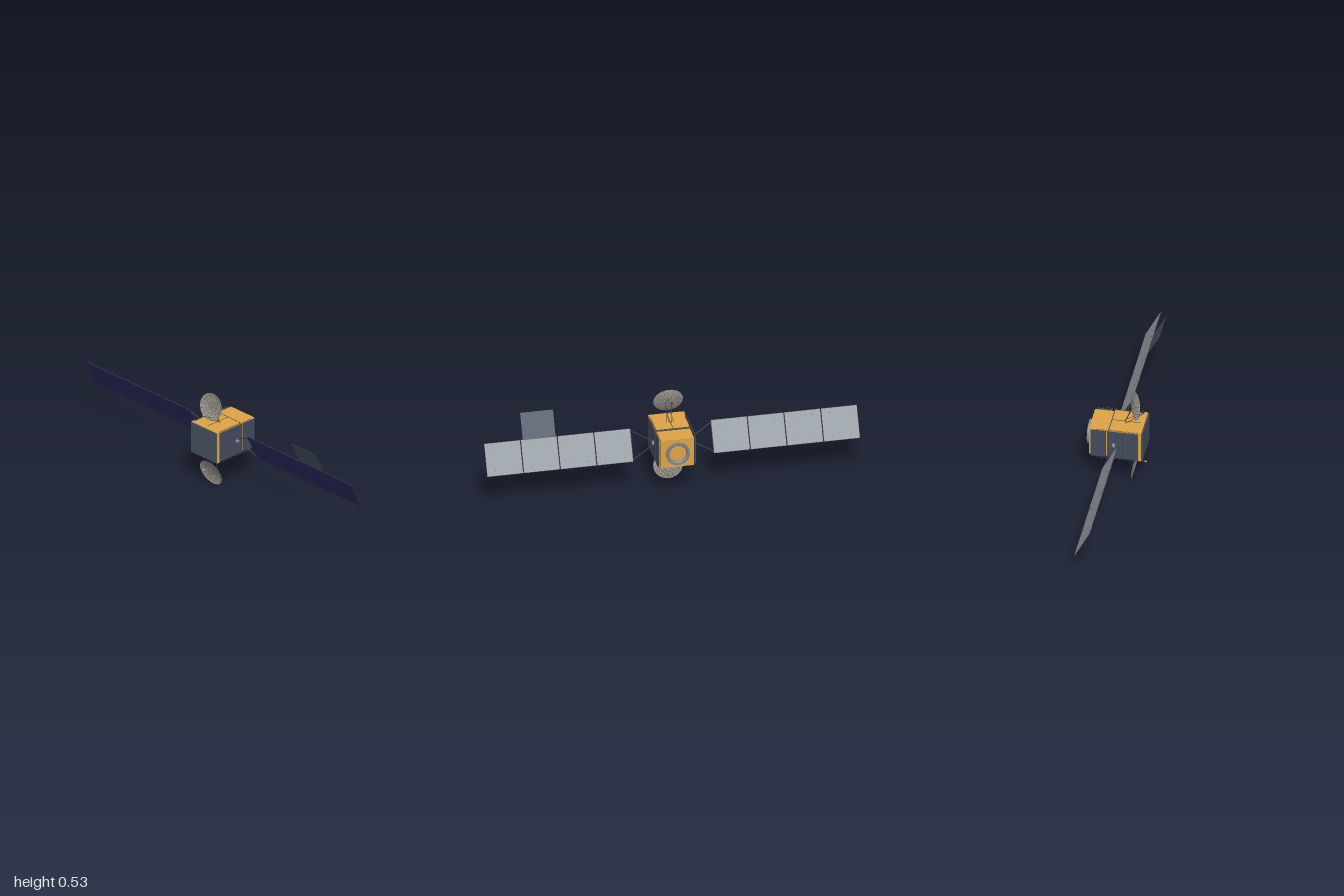
import * as THREE from 'three';

const mat = (name, color, side = THREE.FrontSide) => {
  const m = new THREE.MeshStandardMaterial({ color, side });
  m.name = name;
  return m;
};

export function createModel() {
  const gold = mat('gold foil', 0xdea445);
  const navy = mat('navy solar cells', 0x2c2a60);
  const slate = mat('slate radiator', 0x465260);
  const blueSlate = mat('blue slate side radiator', 0x434b5d);
  const grey = mat('light grey', 0x929aa1);
  const ringGrey = mat('ring grey', 0x7f868d, THREE.DoubleSide);
  const dark = mat('dark struts', 0x38393b);
  const meshGrey = mat('dish mesh grey', 0x96928a, THREE.DoubleSide);
  const meshDark = mat('dish rib grey', 0x56544f);

  const model = new THREE.Group();
  model.name = 'satellite';
  const CY = 0.2645; // height of the body axis

  const add = (parent, name, geo, material, x = 0, y = 0, z = 0) => {
    const m = new THREE.Mesh(geo, material);
    m.name = name;
    m.position.set(x, y, z);
    parent.add(m);
    return m;
  };
  // box given by its min and max on each axis
  const box = (parent, name, material, [x0, x1], [y0, y1], [z0, z1]) =>
    add(parent, name, new THREE.BoxGeometry(x1 - x0, y1 - y0, z1 - z0), material,
      (x0 + x1) / 2, (y0 + y1) / 2, (z0 + z1) / 2);
  // thin round bar between two points
  const rod = (parent, name, a, b, r = 0.0015, material = dark, r2 = r) => {
    const p = new THREE.Vector3(...a), q = new THREE.Vector3(...b);
    const d = q.clone().sub(p);
    const m = add(parent, name, new THREE.CylinderGeometry(r2, r, d.length(), 8), material);
    m.position.copy(p).add(q).multiplyScalar(0.5);
    m.quaternion.setFromUnitVectors(new THREE.Vector3(0, 1, 0), d.normalize());
    return m;
  };

  // ---- body, measured from its axis ----
  const body = new THREE.Group();
  body.name = 'body';
  body.position.y = CY;
  model.add(body);
  box(body, 'bodyCore', gold, [-0.088, 0.088], [-0.081, 0.081], [-0.137, 0.13]);
  box(body, 'frontFrame', gold, [-0.097, 0.097], [-0.0885, 0.0895], [0.127, 0.143]);
  box(body, 'frontRadiator', slate, [-0.095, 0.095], [-0.0845, 0.0865], [0.143, 0.15]);
  for (const s of [1, -1]) {
    const span = (a, b) => [s * a, s * b].sort((p, q) => p - q);
    // foil deck, with crossing strips over it
    box(body, 'foilDeck', gold, [-0.088, 0.088], span(0.08, 0.089), [-0.028, 0.128]);
    box(body, 'crossStrip', slate, [-0.088, 0.088], span(0.08, 0.0895), [-0.033, -0.028]);
    box(body, 'lengthStrip', slate, [-0.0015, 0.0015], span(0.0885, 0.0905), [-0.03, 0.12]);
    // side radiators in a 3 by 2 layout, standing off the body
    for (const z of [0.086, 0.002, -0.086]) {
      for (const y of [0.042, -0.042]) {
        box(body, 'sideRadiator', blueSlate, span(0.0965, 0.0995), [y - 0.041, y + 0.041], [z - 0.041, z + 0.041]);
        box(body, 'radiatorMount', gold, span(0.088, 0.0965), [y - 0.012, y + 0.012], [z - 0.008, z + 0.008]);
      }
    }
    box(body, 'sideSeam', grey, span(0.088, 0.09), [-0.003, 0.003], [-0.033, 0.127]);
    // rails along the radiator edges
    for (const v of [0.0895, -0.0895]) rod(body, 'edgeRail', [s * 0.098, v, -0.1], [s * 0.098, v, 0.127], 0.001);
    const hub = add(body, 'wingHub', new THREE.CylinderGeometry(0.012, 0.012, 0.012, 20), grey, s * 0.1, 0, 0);
    hub.rotation.z = Math.PI / 2;
  }

  // ---- adapter ring on the back ----
  const ringProfile = [[0.064, 0], [0.064, 0.016], [0.052, 0.016], [0.046, 0.008], [0.046, 0]]
    .map(([r, y]) => new THREE.Vector2(r, y));
  const ringGeo = new THREE.LatheGeometry(ringProfile, 40).toNonIndexed();
  ringGeo.computeVertexNormals();
  add(body, 'adapterRing', ringGeo, ringGrey, 0, 0, -0.137).rotation.x = -Math.PI / 2;

  // ---- solar wings, tilted with the upper edge forward ----
  const half = 0.0878, pitch = 0.1965;
  for (const s of [1, -1]) {
    const wing = new THREE.Group();
    wing.name = s > 0 ? 'leftWing' : 'rightWing';
    wing.position.y = CY;
    wing.rotation.x = 0.477;
    model.add(wing);
    for (let i = 0; i < 4; i++) {
      const x = s * (0.215 + pitch * (i + 0.5) - 0.0005);
      const w = pitch / 2 - 0.0014;
      box(wing, 'panelCore', dark, [x - w, x + w], [-half, half], [-0.0015, 0.0015]);
      box(wing, 'solarCells', navy, [x - w + 0.0005, x + w - 0.0005], [-half + 0.0005, half - 0.0005], [0.0015, 0.0025]);
      box(wing, 'panelBack', grey, [x - w + 0.002, x + w - 0.002], [-half + 0.002, half - 0.002], [-0.0025, -0.0015]);
      // small fasteners on the back
      for (const y of [-0.06, 0.06]) {
        for (const dx of [-0.05, 0.05]) {
          box(wing, 'fastener', dark, [x + dx - 0.0015, x + dx + 0.0015], [y - 0.0015, y + 0.0015], [-0.0035, -0.0025]);
        }
      }
      // hinges to the next panel
      if (i < 3) {
        const hx = s * (0.215 + pitch * (i + 1));
        for (const y of [-0.06, 0.06]) box(wing, 'hinge', dark, [hx - 0.004, hx + 0.004], [y - 0.004, y + 0.004], [-0.003, 0]);
      }
    }
    // yoke from the hub to the inner corners
    for (const v of [1, -1]) rod(wing, 'yokeStrut', [s * 0.1, v * 0.009, 0], [s * 0.217, v * 0.076, 0], 0.0026);
    rod(wing, 'yokeBar', [s * 0.2155, -half, 0], [s * 0.2155, half, 0], 0.0015);
    if (s > 0) box(wing, 'extraPanel', slate, [0.615, 0.791], [half, 0.229], [-0.0005, 0.0005]);
  }

  // ---- mesh dishes ----
  const makeDish = (name, R, depth, rings, ribs) => {
    const dish = new THREE.Group();
    dish.name = name;
    const h = (r) => depth * ((r / R) ** 2 - 1);
    const pts = [];
    for (let i = 0; i <= 10; i++) pts.push(new THREE.Vector2(R * i / 10, h(R * i / 10)));
    add(dish, 'dishSurface', new THREE.LatheGeometry(pts, 40), meshGrey);
    for (let i = 1; i <= rings; i++) {
      const r = R * i / rings;
      add(dish, 'dishRing', new THREE.TorusGeometry(r, 0.0006, 4, 40), meshDark, 0, h(r), 0).rotation.x = Math.PI / 2;
    }
    for (let i = 0; i < ribs; i++) {
      const a = i / ribs * Math.PI * 2;
      const path = new THREE.CatmullRomCurve3([0.05, 0.35, 0.7, 1].map((t) =>
        new THREE.Vector3(Math.cos(a) * R * t, h(R * t), Math.sin(a) * R * t)));
      add(dish, 'dishRib', new THREE.TubeGeometry(path, 6, 0.0005, 4), meshDark);
    }
    return dish;
  };

  for (const s of [1, -1]) {
    const antenna = new THREE.Group();
    antenna.name = s > 0 ? 'upperAntenna' : 'lowerAntenna';
    model.add(antenna);
    const P = (x, y, z) => [x, CY + s * y, z];
    const dish = makeDish('meshDish', 0.0725, 0.014, 5, 16);
    dish.position.set(0, CY + s * 0.1925, 0.0955);
    dish.rotation.x = s > 0 ? 1.313 : Math.PI - 1.313;
    dish.scale.x = 1.1;
    antenna.add(dish);
    for (const x of [-1, 1]) {
      rod(antenna, 'dishStrut', P(x * 0.006, 0.088, 0.039), P(x * 0.018, 0.186, 0.081));
      rod(antenna, 'feedStrut', P(x * 0.02, 0.088, 0.043), P(x * 0.003, 0.1545, 0.141), 0.0013);
    }
    rod(antenna, 'feedHorn', P(0, 0.155, 0.142), P(0, 0.1595, 0.154), 0.003, gold, 0.0042);
  }

  // ---- small dish under the rear ----
  const small = new THREE.Group();
  small.name = 'smallAntenna';
  model.add(small);
  const smallDish = makeDish('smallDish', 0.0255, 0.005, 2, 8);
  smallDish.position.set(0.032, 0.164, -0.09);
  smallDish.rotation.x = Math.PI / 2 + 0.455;
  small.add(smallDish);
  rod(small, 'feedBoom', [0.032, 0.169, -0.07], [0.032, 0.183, -0.143], 0.0015);
  rod(small, 'dishMount', [0.032, 0.184, -0.125], [0.032, 0.165, -0.096], 0.0015);
  rod(small, 'feedHorn', [0.032, 0.17, -0.074], [0.032, 0.167, -0.062], 0.005, gold, 0.0035);

  return model;
}
